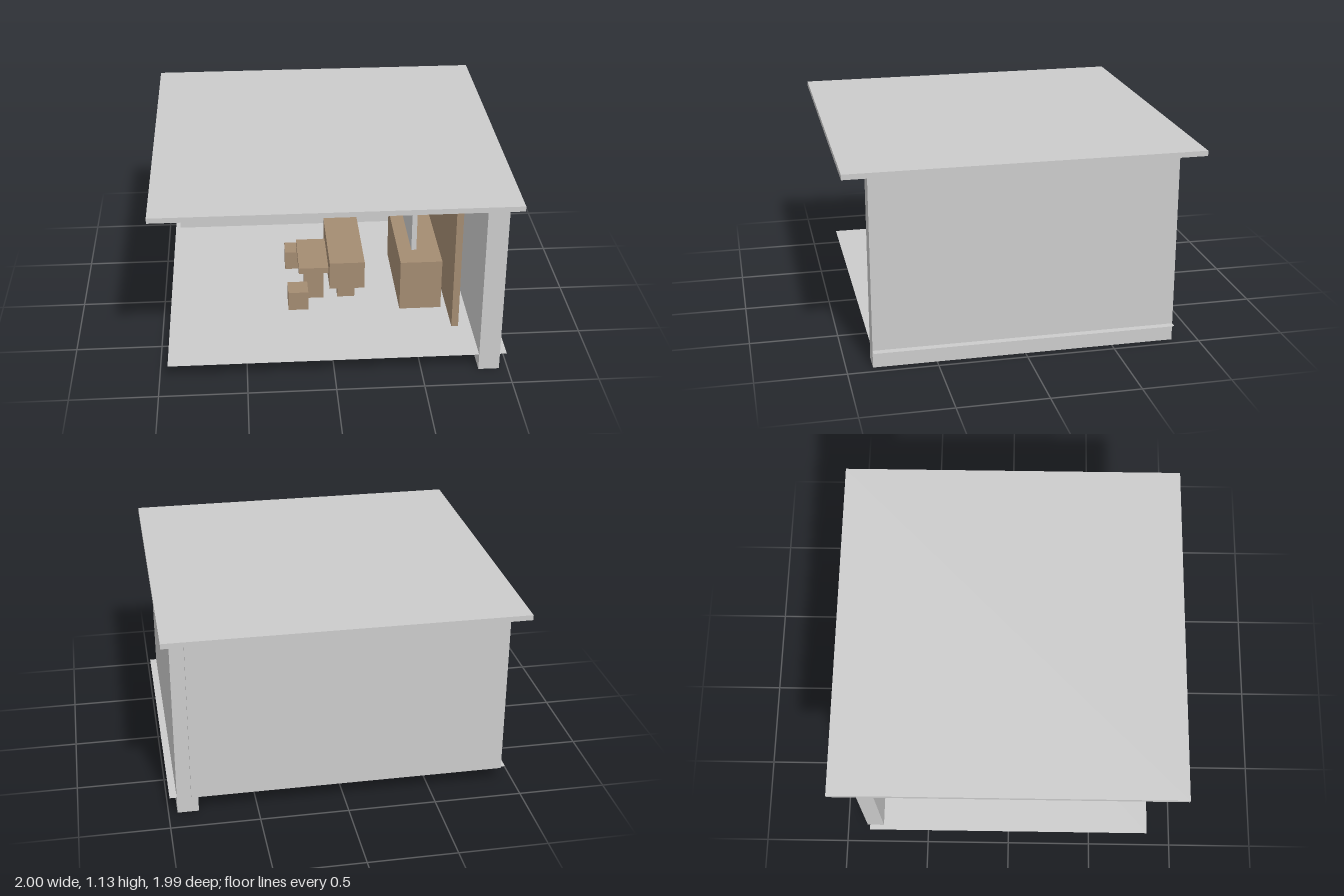
import * as THREE from 'three';

export function createModel() {
  const model = new THREE.Group();
  const grey = new THREE.MeshStandardMaterial({ color: 0xcccccc });
  const brown = new THREE.MeshStandardMaterial({ color: 0xa48c72 });

  // Box given by its extents along each axis
  function box(name, [x0, x1], [y0, y1], [z0, z1], material, parent = model) {
    const mesh = new THREE.Mesh(new THREE.BoxGeometry(x1 - x0, y1 - y0, z1 - z0), material);
    mesh.position.set((x0 + x1) / 2, (y0 + y1) / 2, (z0 + z1) / 2);
    mesh.name = name;
    parent.add(mesh);
  }

  // Front and rear copies of a box, mirrored in z
  function pair(name, x, y, [z0, z1], material, parent) {
    box(name + 'Front', x, y, [z0, z1], material, parent);
    box(name + 'Rear', x, y, [-z1, -z0], material, parent);
  }

  function group(name) {
    const g = new THREE.Group();
    g.name = name;
    model.add(g);
    return g;
  }

  // Shell: roof slab, two walls and a thin floor sheet
  box('roof', [-1, 1], [1.1, 1.13], [-0.995, 0.995], grey);
  box('sideWall', [0.83, 0.95], [0, 1.1], [-0.855, 0.855], grey);
  box('backWall', [-0.92, 0.87], [0.1, 1.1], [-0.87, -0.77], grey);

  const floorMaterial = grey.clone();
  floorMaterial.side = THREE.DoubleSide;
  const floor = new THREE.Mesh(new THREE.PlaneGeometry(1.94, 1.71), floorMaterial);
  floor.rotation.x = -Math.PI / 2;
  floor.position.set(0.02, 0.1, 0);
  floor.name = 'floor';
  model.add(floor);

  // Feet reach just below the floor sheet
  const foot = 0.092;

  // Cabinet with a screen above it and a tall panel behind
  box('cabinet', [0.43, 0.68], [foot, 0.42], [-0.335, 0.335], brown);
  box('backingPanel', [0.715, 0.755], [foot, 0.955], [-0.55, 0.55], brown);
  box('screen', [0.5, 0.53], [0.47, 0.77], [-0.27, 0.27], grey);

  // Thick table on two slab legs
  const table = group('table');
  box('tableTop', [0.01, 0.22], [0.23, 0.405], [-0.29, 0.29], brown, table);
  pair('tableLeg', [0.065, 0.17], [foot, 0.23], [0.127, 0.172], brown, table);

  // Narrow bench on two slab legs
  const bench = group('bench');
  box('benchSeat', [-0.17, 0.01], [0.275, 0.312], [-0.18, 0.18], brown, bench);
  pair('benchLeg', [-0.14, -0.02], [foot, 0.275], [0.133, 0.176], brown, bench);

  // Two cube stools
  pair('stool', [-0.24, -0.12], [foot, 0.22], [0.18, 0.307], brown, group('stools'));

  return model;
}
